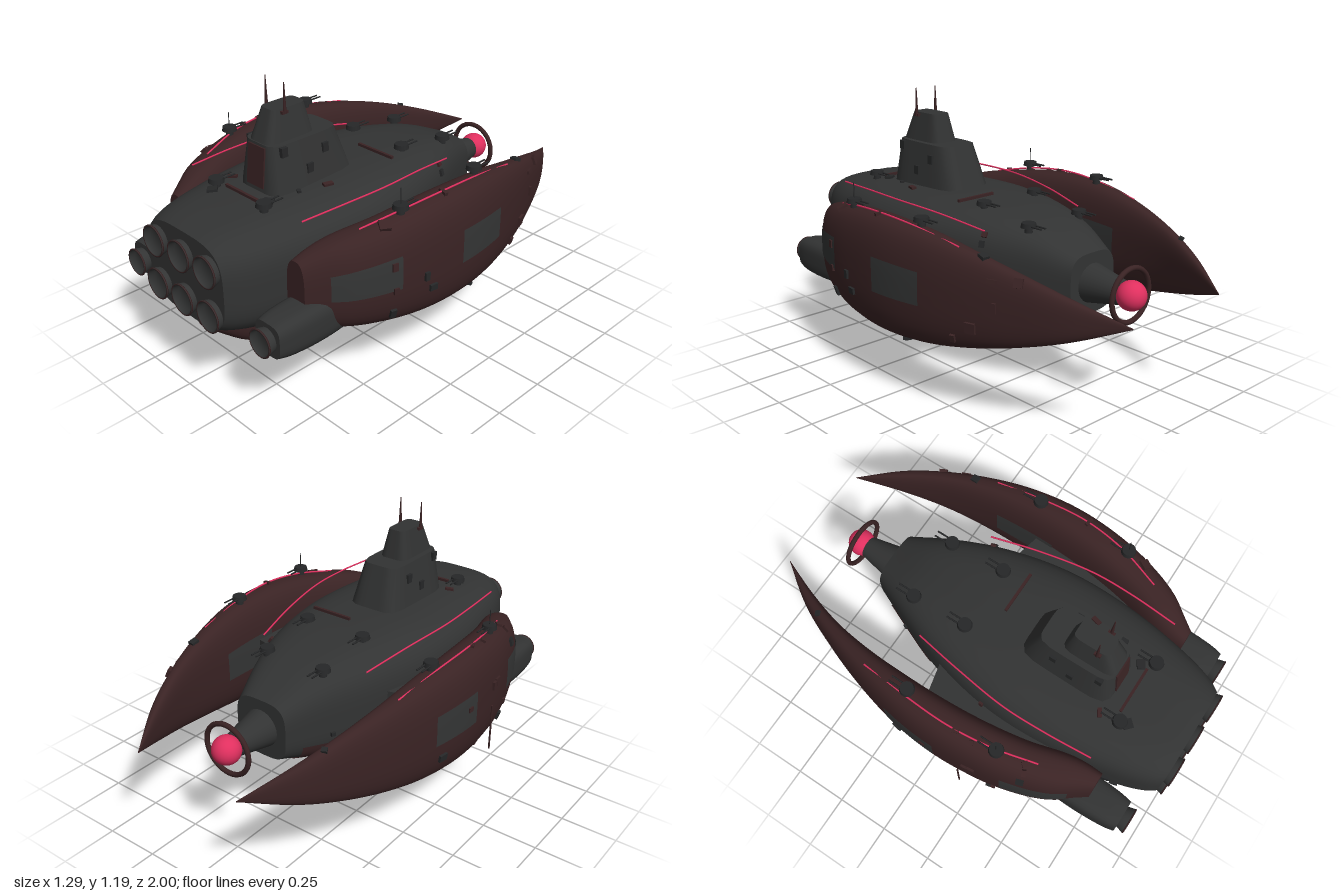
import * as THREE from 'three';

const mat = (name, color, side = THREE.FrontSide) => {
  const m = new THREE.MeshStandardMaterial({ color, side });
  m.name = name;
  return m;
};

// Section tables, each row: z, centre x, centre y, half width, half height
const HULL = [[-.57, 0, .5, .13, .13], [-.4, 0, .51, .205, .19], [-.2, 0, .508, .285, .232], [.1, 0, .506, .357, .252],
  [.35, 0, .505, .37, .25], [.7, 0, .505, .33, .235], [.93, 0, .508, .265, .205], [.97, 0, .51, .24, .19]];
const POD = [[-1, .262, .5, .001, .002], [-.8, .37, .5, .03, .082], [-.6, .445, .503, .045, .147], [-.4, .495, .505, .065, .197],
  [-.2, .525, .507, .085, .233], [0, .537, .507, .098, .249], [.2, .527, .505, .103, .247], [.4, .495, .502, .105, .224],
  [.6, .432, .5, .097, .188], [.68, .4, .5, .072, .158], [.74, .38, .5, .05, .13]];
const KEEL = [[-.2, 0, .305, .03, .035], [-.1, 0, .27, .05, .07], [0, 0, .225, .062, .115], [.1, 0, .185, .072, .155],
  [.2, 0, .172, .075, .168], [.5, 0, .18, .075, .16], [.7, 0, .207, .066, .133], [.91, 0, .28, .042, .045]];

// Smooth skin through a section table: (t 0..1, angle, offset) -> point
function skin(rows, power, side = 1) {
  const curve = new THREE.CubicInterpolant(rows.map(r => r[0]), rows.flatMap(r => r.slice(1)), 4, new Array(4));
  const z0 = rows[0][0], z1 = rows[rows.length - 1][0];
  const f = (t, a, off = 0) => {
    const z = z0 + (z1 - z0) * t, [cx, cy, hw, hh] = curve.evaluate(z);
    const c = Math.cos(a), s = Math.sin(a);
    const r = (Math.abs(c) ** power + Math.abs(s) ** power) ** (-1 / power);
    return new THREE.Vector3(side * cx + (Math.max(hw, .001) + off) * c * r, cy + (Math.max(hh, .001) + off) * s * r, z);
  };
  f.at = z => (z - z0) / (z1 - z0);
  return f;
}

// Grid of quads over a skin function, optionally closed by flat end caps
function sheet(f, nu, nv, { u = [0, 1], v = [0, Math.PI * 2], off = 0, caps = false } = {}) {
  const pos = [], idx = [];
  const ring = t => Array.from({ length: nv + 1 }, (_, j) => f(t, v[0] + (v[1] - v[0]) * j / nv, off));
  for (let i = 0; i <= nu; i++) ring(u[0] + (u[1] - u[0]) * i / nu).forEach(p => pos.push(p.x, p.y, p.z));
  for (let i = 0; i < nu; i++) for (let j = 0; j < nv; j++) {
    const a = i * (nv + 1) + j, b = a + nv + 1;
    idx.push(a, a + 1, b, a + 1, b + 1, b);
  }
  if (caps) [0, 1].forEach(t => {
    const pts = ring(t), base = pos.length / 3;
    const mid = pts[0].clone().add(pts[nv / 2]).multiplyScalar(.5);
    [mid, ...pts].forEach(p => pos.push(p.x, p.y, p.z));
    for (let j = 1; j <= nv; j++) t ? idx.push(base, base + j, base + j + 1) : idx.push(base, base + j + 1, base + j);
  });
  const g = new THREE.BufferGeometry();
  g.setAttribute('position', new THREE.Float32BufferAttribute(pos, 3));
  g.setIndex(idx);
  g.computeVertexNormals();
  return g;
}

export function createModel() {
  const root = new THREE.Group();
  const grey = mat('hull grey', 0x323333), dark = mat('dark grey', 0x262728);
  const brown = mat('dark red brown', 0x3a2324), pink = mat('glowing pink', 0xe0305f);
  const greyPlate = mat('plate grey', 0x343535, THREE.DoubleSide), brownPlate = mat('plate brown', 0x3a2324, THREE.DoubleSide);
  const add = (name, geo, m, x = 0, y = 0, z = 0, parent = root) => {
    const o = new THREE.Mesh(geo, m);
    o.name = name;
    o.position.set(x, y, z);
    parent.add(o);
    return o;
  };
  const box = (...s) => new THREE.BoxGeometry(...s);
  // Cylinder along z: r1 at the +z end
  const tubeZ = (r1, r0, len, seg = 28) => new THREE.CylinderGeometry(r1, r0, len, seg).rotateX(Math.PI / 2);
  const line = (pts, r) => new THREE.TubeGeometry(new THREE.CatmullRomCurve3(pts.map(p => new THREE.Vector3(...p))), 40, r, 6);
  let seed = 7;
  const rnd = () => (seed = (seed * 16807) % 2147483647) / 2147483647;

  // Main hull, with painted plates near the nose and on the flanks
  const hull = skin(HULL, 3.6);
  add('hull', sheet(hull, 48, 56, { caps: true }), grey);
  for (const [z0, z1, a0, a1] of [[-.5, -.2, 3.6, 4.35], [-.42, -.12, -1.2, -.4], [.1, .3, 3.5, 4]])
    add('hullPlate', sheet(hull, 10, 10, { u: [hull.at(z0), hull.at(z1)], v: [a0, a1], off: .004 }), brownPlate);

  // Nose collar, sensor ball and ring
  add('noseCollar', tubeZ(.085, .05, .17), grey, 0, .5, -.65);
  add('sensorBall', new THREE.SphereGeometry(.062, 28, 20), pink, 0, .5, -.775);
  add('sensorRing', new THREE.TorusGeometry(.112, .011, 10, 40), brown, 0, .5, -.77);

  // Engine nozzle: flared bell with a recessed throat and a rim
  const nozzle = (name, x, y, z, r, len) => {
    const g = new THREE.Group();
    g.name = name;
    g.position.set(x, y, z);
    const prof = [[r * .82, -len], [r, 0], [r * .88, 0], [r * .78, -len * .5], [.0001, -len * .5]];
    add('bell', new THREE.LatheGeometry(prof.map(p => new THREE.Vector2(...p)), 32).rotateX(Math.PI / 2),
      greyPlate, 0, 0, 0, g);
    add('rim', new THREE.TorusGeometry(r * .95, .004, 6, 32), brown, 0, 0, -.003, g);
    root.add(g);
  };
  for (const y of [.6, .405]) for (const x of [-.165, 0, .165]) nozzle('mainEngine', x, y, 1, .068, .05);

  // Conning tower in two tapered tiers
  const tier = (y0, y1, b, t) => {
    const f = (u, a) => {
      const c = Math.cos(a), s = Math.sin(a), r = (c ** 6 + s ** 6) ** (-1 / 6);
      const [hw, z0, z1] = b.map((k, i) => k + (t[i] - k) * u);
      return new THREE.Vector3(hw * c * r, y0 + (y1 - y0) * u, (z0 + z1) / 2 - (z1 - z0) / 2 * s * r);
    };
    return sheet(f, 1, 32, { caps: true });
  };
  add('towerBase', tier(.73, .945, [.13, .165, .61], [.095, .24, .588]), grey);
  add('towerTop', tier(.94, 1.073, [.07, .34, .586], [.045, .37, .535]), grey);
  add('towerPanel', box(.1, .17, .008), brownPlate, 0, .85, .6).rotation.x = -.1;
  for (const s of [-1, 1]) {
    add('mast', new THREE.CylinderGeometry(.002, .008, .13, 8), brown, s * .056, 1.12, .49);
    add('mastBracket', box(.03, .012, .03), brown, s * .045, 1.06, .49);
    for (const [y, z] of [[.82, .42], [.88, .33], [.92, .54]])
      add('towerFitting', box(.02, .04, .03), dark, s * (.115 - (y - .8) * .13), y, z);
  }

  // Keel fin
  const keel = skin(KEEL, 3);
  add('keel', sheet(keel, 40, 36, { caps: true }), brown);
  for (const [a0, a1] of [[-.65, .1], [3.04, 3.79]])
    add('keelPlate', sheet(keel, 8, 8, { u: [keel.at(.45), keel.at(.7)], v: [a0, a1], off: .003 }), greyPlate);
  add('keelGun', tubeZ(.004, .004, .12, 8), dark, .085, .11, -.04);
  add('keelGunMount', box(.03, .03, .05), dark, .072, .11, .03);

  // Twin-barrel turret aimed at the nose
  const turret = (x, y, z) => {
    const g = new THREE.Group();
    g.name = 'turret';
    g.position.set(x, y, z);
    add('turretPost', new THREE.CylinderGeometry(.014, .018, .025, 12), dark, 0, .003, 0, g);
    add('turretHead', new THREE.CylinderGeometry(.03, .034, .02, 14), dark, 0, .022, 0, g);
    for (const s of [-1, 1]) add('barrel', tubeZ(.004, .004, .07, 6), dark, s * .012, .022, -.05, g);
    root.add(g);
  };

  // Small box fitting seated on a skin
  const fitting = (f, t, a, m) => {
    const p = f(t, a), e = .004;
    const n = f(t, a + e).sub(f(t, a - e)).cross(f(t + e, a).sub(f(t - e, a))).normalize();
    const o = add('fitting', box(.015 + rnd() * .03, .015 + rnd() * .03, .02), m, p.x, p.y, p.z);
    o.lookAt(p.clone().add(n));
  };

  for (const s of [-1, 1]) {
    // Crescent side pods with grey plates on both flanks
    const pod = skin(POD, 2.8, s);
    const flip = a => s > 0 ? a : Math.PI - a;
    add('sidePod', sheet(pod, 60, 40, { caps: true }), brown);
    for (const [z0, z1, a0, a1] of [[.39, .66, -.2, .42], [-.2, .07, -.22, .36], [-.3, 0, 2.8, 3.4]]) {
      const v = [flip(a0), flip(a1)].sort((p, q) => p - q);
      add('podPlate', sheet(pod, 10, 10, { u: [pod.at(z0), pod.at(z1)], v, off: .004 }), greyPlate);
    }

    // Wing joining pod to hull
    const wing = new THREE.Shape([[.2, .14], [.46, .08], [.46, -.5], [.2, -.5]].map(([x, z]) => new THREE.Vector2(s * x, z)));
    add('podWing', new THREE.ExtrudeGeometry(wing, { depth: .14, bevelEnabled: false }).rotateX(-Math.PI / 2), grey, 0, .43, 0);

    // Auxiliary engine nacelle below each pod
    const nacelle = skin([[.4, .405, .38, .05, .05], [.52, .405, .38, .076, .076], [.85, .405, .378, .08, .08], [.905, .405, .378, .07, .07]], 4, s);
    add('nacelle', sheet(nacelle, 16, 32, { caps: true }), grey);
    nozzle('auxEngine', s * .405, .378, .945, .06, .045);

    // Light strips
    add('hullLightStrip', line([[s * .28, .7, -.23], [s * .325, .735, 0], [s * .36, .755, .25], [s * .36, .76, .45], [s * .345, .757, .67]], .004), pink);
    add('podLightStrip', line([[s * .52, .712, -.35], [s * .545, .75, -.1], [s * .553, .762, .1], [s * .53, .748, .3], [s * .475, .71, .5]], .004), pink);

    for (const [z, y] of [[-.35, .705], [-.08, .745], [.69, .745]]) turret(s * .15, y, z);
    turret(s * .52, .755, -.12);
    turret(s * .53, .745, .33);
    add('podMast', new THREE.CylinderGeometry(.002, .002, .09, 6), dark, s * .53, .8, .33);

    // Scattered fittings
    for (let i = 0; i < 14; i++) fitting(pod, .18 + rnd() * .72, flip(-1.4 + rnd() * 3), i % 3 ? brown : dark);
    for (let i = 0; i < 14; i++) fitting(hull, .06 + rnd() * .88, flip(-1.5 + rnd() * 3), i % 3 ? dark : brown);
  }
  add('podAerial', new THREE.CylinderGeometry(.004, .004, .22, 6), brown, -.642, .36, .2);
  add('deckPipe', box(.2, .012, .012), brown, .1, .762, .03);
  add('aftDeckPipe', box(.22, .012, .012), brown, 0, .75, .67);
  return root;
}
